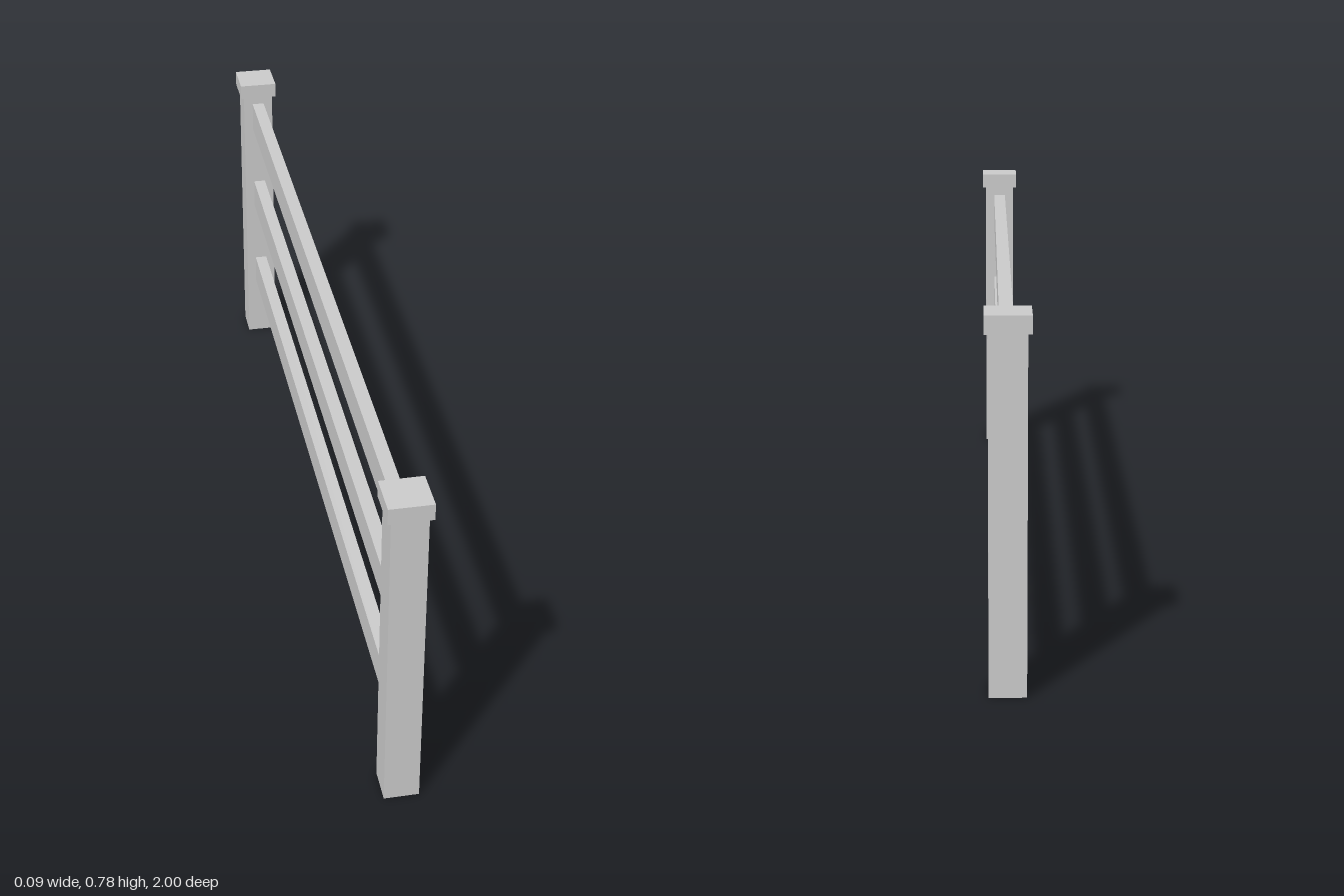
import * as THREE from 'three';

export function createModel() {
  const model = new THREE.Group();
  model.name = 'railFence';
  const material = new THREE.MeshStandardMaterial({ color: 0xcccccc, flatShading: true });

  function addBox(parent, name, [w, h, d], [x, y, z]) {
    const mesh = new THREE.Mesh(new THREE.BoxGeometry(w, h, d), material);
    mesh.name = name;
    mesh.position.set(x, y, z);
    parent.add(mesh);
  }

  const postZ = 0.953, postWidth = 0.077, postHeight = 0.743;
  const capWidth = 0.094, capHeight = 0.037;

  // End posts with square caps
  for (const [side, name] of [[1, 'frontPost'], [-1, 'backPost']]) {
    const post = new THREE.Group();
    post.name = name;
    post.position.z = side * postZ;
    addBox(post, 'postShaft', [postWidth, postHeight, postWidth], [0, postHeight / 2, 0]);
    addBox(post, 'postCap', [capWidth, capHeight, capWidth], [0, postHeight + capHeight / 2, 0]);
    model.add(post);
  }

  // Three horizontal rails spanning between the inner post faces
  const railLength = 2 * postZ - postWidth;
  const rails = [['bottomRail', 0.203], ['middleRail', 0.447], ['topRail', 0.683]];
  for (const [name, y] of rails) addBox(model, name, [0.03, 0.076, railLength], [0, y, 0]);

  return model;
}
